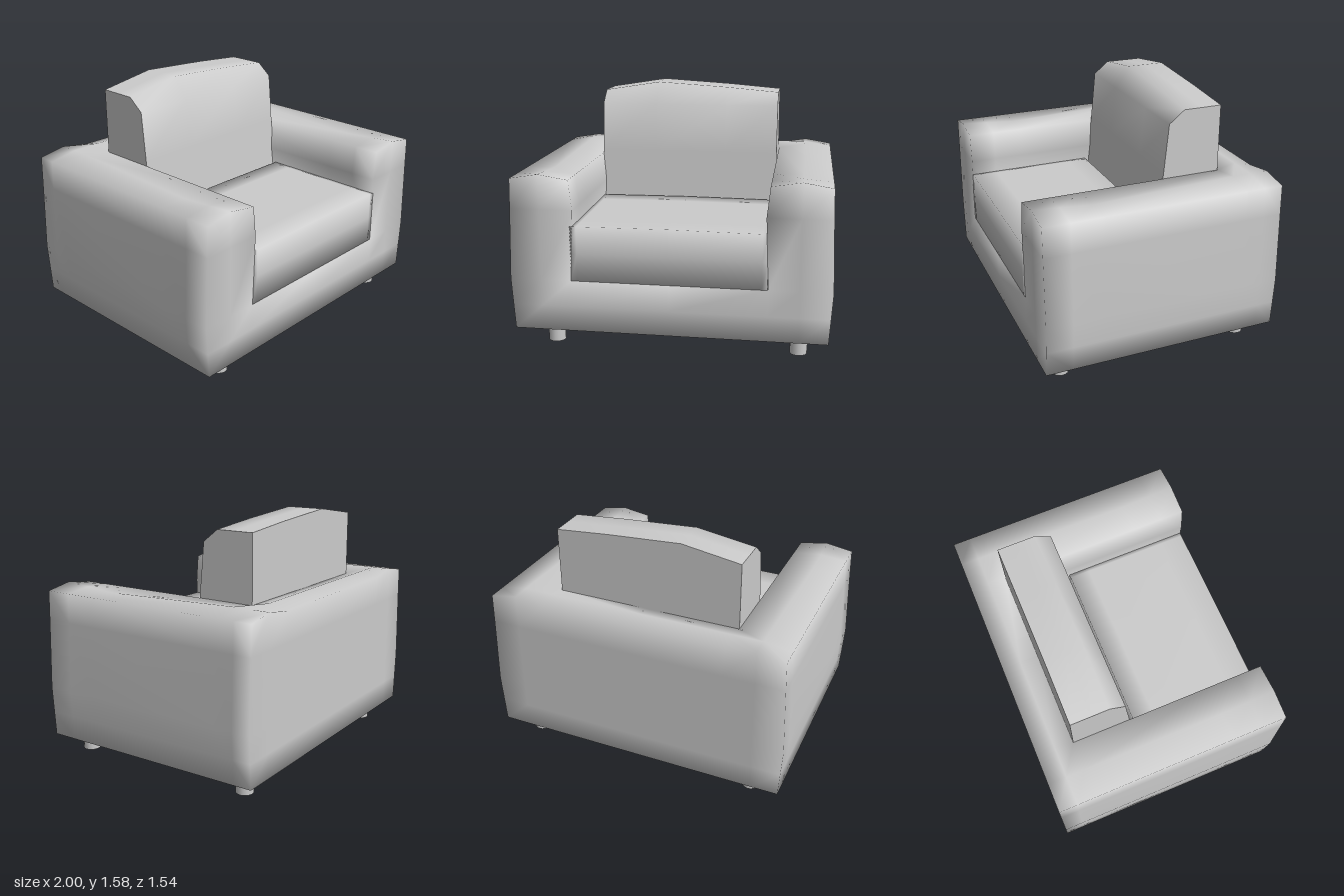
import * as THREE from 'three';
import { toCreasedNormals } from 'three/addons/utils/BufferGeometryUtils.js';

const material = new THREE.MeshStandardMaterial({ color: 0xcccccc });

// Welded skin around the solid cells of a grid; warp(x, y, z) shapes each corner.
function paddedBlock(axes, solid, warp) {
  const positions = [], index = [], ids = new Map();
  const corner = (c) => {
    const key = c.join();
    if (!ids.has(key)) {
      ids.set(key, ids.size);
      positions.push(...warp(...c.map((i, a) => axes[a][i])));
    }
    return ids.get(key);
  };
  const filled = (c) =>
    c.every((i, a) => i >= 0 && i < axes[a].length - 1) &&
    solid(...c.map((i, a) => (axes[a][i] + axes[a][i + 1]) / 2));

  for (let i = 0; i < axes[0].length - 1; i++)
    for (let j = 0; j < axes[1].length - 1; j++)
      for (let k = 0; k < axes[2].length - 1; k++) {
        const cell = [i, j, k];
        if (!filled(cell)) continue;
        for (let a = 0; a < 3; a++)
          for (const side of [-1, 1]) {
            const next = [...cell];
            next[a] += side;
            if (filled(next)) continue;
            const quad = [[0, 0], [1, 0], [1, 1], [0, 1]].map(([u, v]) => {
              const c = [...cell];
              if (side > 0) c[a]++;
              c[(a + 1) % 3] += u;
              c[(a + 2) % 3] += v;
              return corner(c);
            });
            if (side < 0) quad.reverse();
            index.push(quad[0], quad[1], quad[2], quad[0], quad[2], quad[3]);
          }
      }
  const geometry = new THREE.BufferGeometry();
  geometry.setAttribute('position', new THREE.Float32BufferAttribute(positions, 3));
  geometry.setIndex(index);
  geometry.computeVertexNormals();
  return geometry;
}

// Straight-line interpolation through [input, output] points.
function along(points, t) {
  for (let i = 1; i < points.length; i++) {
    const [a, va] = points[i - 1], [b, vb] = points[i];
    if (t <= b) return THREE.MathUtils.mapLinear(Math.max(t, a), a, b, va, vb);
  }
  return points[points.length - 1][1];
}

export function createModel() {
  const group = new THREE.Group();
  const add = (name, geometry) => {
    const mesh = new THREE.Mesh(geometry, material);
    mesh.name = name;
    group.add(mesh);
    return mesh;
  };

  // Upholstered frame: base, arms and back in one padded skin
  const outer = [[0.12, 0.98], [0.45, 1], [0.9, 0.985], [1.09, 0.98]];
  const inner = [[0.45, 0.61], [0.9, 0.59], [1.09, 0.61]];
  const armCrest = [[-0.53, 0.03], [0.4, 0], [0.77, 0.03]];
  add('frame', paddedBlock(
    [[-1, -0.8, -0.6, 0, 0.6, 0.8, 1], [0.12, 0.28, 0.45, 0.9, 1.09],
      [-0.77, -0.65, -0.53, 0.4, 0.6, 0.77]],
    (x, y, z) => y < 0.45 || z < -0.53 || Math.abs(x) > 0.6,
    (x, y, z) => {
      const ax = Math.abs(x);
      const width = ax === 1 ? along(outer, y) : ax === 0.6 ? along(inner, y) : ax;
      let rise = 0;
      if (y === 1.09 && ax === 0.8) rise = along(armCrest, z);
      else if (y === 1.09 && z === -0.65 && ax < 0.8) rise = 0.03;
      return [Math.sign(x) * width, y + rise, z];
    }));

  // Seat cushion, flush with the front of the arms
  add('seatCushion', paddedBlock(
    [[-0.61, -0.57, 0, 0.57, 0.605], [0.45, 0.625, 0.8], [-0.09, 0.05, 0.6, 0.77]],
    () => true,
    (x, y, z) => [x, y + (y === 0.8 && x === 0 ? 0.005 : 0), z]));

  // Back cushion: leaning front, chamfered top edge and a lopsided crown
  const front = [[0.45, -0.09], [0.8, -0.12], [1.12, -0.15], [1.44, -0.18], [1.52, -0.28]];
  const crown = [[-0.61, 0], [-0.23, 0.06], [0.25, 0.03], [0.605, 0]];
  const back = paddedBlock(
    [[-0.61, -0.23, 0.25, 0.605], [0.45, 0.8, 1.12, 1.44, 1.52], [-0.53, -0.4, 0]],
    () => true,
    (x, y, z) => [x, y + (y === 1.52 ? along(crown, x) : 0), z === 0 ? along(front, y) : z]);
  add('backCushion', toCreasedNormals(back, 1.1));

  // Short round legs
  const leg = new THREE.CylinderGeometry(0.055, 0.055, 0.14, 16);
  for (const x of [-0.755, 0.8])
    for (const z of [-0.61, 0.625])
      add(z > 0 ? 'frontLeg' : 'backLeg', leg).position.set(x, 0.07, z);

  return group;
}
